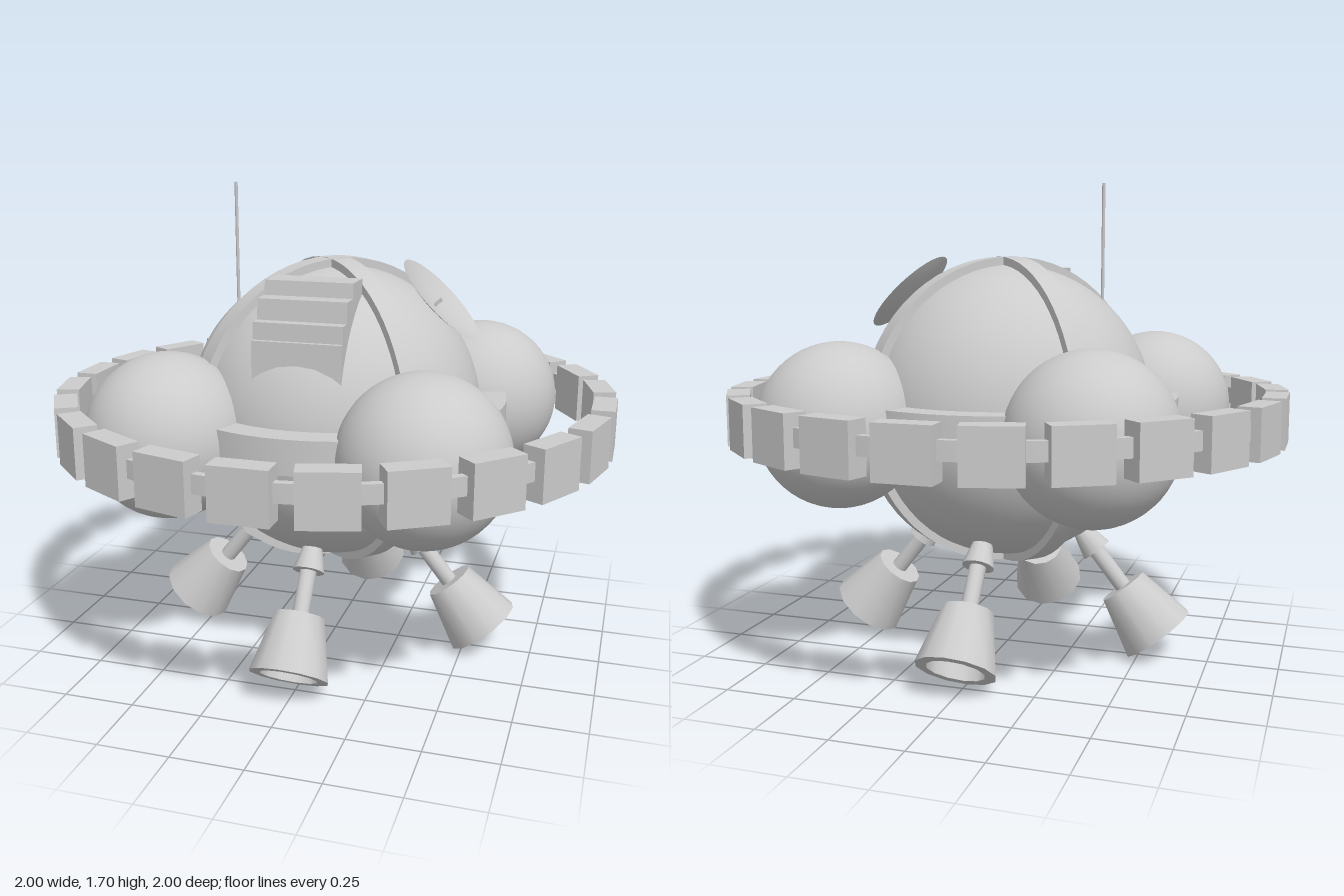
import * as THREE from 'three';
import { toCreasedNormals } from 'three/addons/utils/BufferGeometryUtils.js';

const grey = new THREE.MeshStandardMaterial({ color: 0xcccccc });
const greyDouble = new THREE.MeshStandardMaterial({ color: 0xcccccc, side: THREE.DoubleSide });
const MID = 0.89; // height of the hull centre

// Lathe from [radius, height] pairs, keeping profile corners sharp
function lathe(points, segments) {
  const profile = points.map(([r, y]) => new THREE.Vector2(r, y));
  return toCreasedNormals(new THREE.LatheGeometry(profile, segments), 0.6);
}

// Ring with a rectangular section
function hoop(inner, outer, height, segments = 64) {
  const h = height / 2;
  return lathe([[inner, -h], [outer, -h], [outer, h], [inner, h], [inner, -h]], segments);
}

export function createModel() {
  const model = new THREE.Group();
  const add = (name, geometry, x = 0, y = 0, z = 0, parent = model, material = grey) => {
    const mesh = new THREE.Mesh(geometry, material);
    mesh.name = name;
    mesh.position.set(x, y, z);
    parent.add(mesh);
    return mesh;
  };

  // Round hull with two crossing bands and a belt
  add('hull', new THREE.SphereGeometry(0.528, 48, 32), 0, MID, 0);
  for (const side of [1, -1]) {
    const band = hoop(0.5, 0.555, 0.075).rotateZ(Math.PI / 2).rotateY(side * Math.PI / 4);
    add('hullBand', band, 0, MID, 0);
  }
  add('belt', hoop(0.5, 0.62, 0.12), 0, MID, 0);

  // Four spherical tanks, turned slightly off the diagonals
  for (let i = 0; i < 4; i++) {
    const a = Math.PI / 4 + 0.045 + i * Math.PI / 2;
    add('tank', new THREE.SphereGeometry(0.287, 40, 28), Math.cos(a) * 0.635, 0.872, Math.sin(a) * 0.635);
  }

  // Outer ring of blocks on a thin rail
  const outerRing = new THREE.Group();
  outerRing.name = 'outerRing';
  outerRing.position.y = MID;
  model.add(outerRing);
  add('rail', hoop(0.945, 0.972, 0.062, 72), 0, 0.01, 0, outerRing);
  const blockGeometry = new THREE.BoxGeometry(0.19, 0.175, 0.08);
  for (let i = 0; i < 24; i++) {
    const a = i * Math.PI / 12;
    const block = add('ringBlock', blockGeometry, Math.sin(a) * 0.96, 0, Math.cos(a) * 0.96, outerRing);
    block.rotation.y = a;
  }

  // Four splayed thrusters: collar, strut and hollow bell in one profile
  const thrusterGeometry = lathe([
    [0, -0.27], [0.035, -0.25], [0.057, -0.16], [0.03, -0.16], [0.03, 0],
    [0.09, 0], [0.14, 0.212], [0.102, 0.212], [0.1, 0.13], [0, 0.13],
  ], 12);
  thrusterGeometry.rotateZ(-Math.PI + Math.atan2(0.62, 0.785)).translate(0.44, 0.258, 0);
  for (let i = 0; i < 4; i++) {
    add('thruster', thrusterGeometry).rotation.y = i * Math.PI / 2;
  }

  // Stepped housing on the upper front
  const steps = new THREE.Shape([
    [0.2, 1.09], [0.46, 1.09], [0.458, 1.225], [0.44, 1.225], [0.438, 1.283], [0.395, 1.283],
    [0.39, 1.353], [0.32, 1.353], [0.315, 1.403], [0.2, 1.403],
  ].map(([z, y]) => new THREE.Vector2(z, y)));
  const stepGeometry = new THREE.ExtrudeGeometry(steps, { depth: 0.306, bevelEnabled: false });
  stepGeometry.translate(0, 0, -0.153).rotateY(-Math.PI / 2);
  add('steps', stepGeometry);

  // Shallow dish on the left shoulder with a small feed
  const dish = new THREE.Group();
  dish.name = 'dish';
  dish.position.set(0.365, 1.292, 0.02);
  dish.rotation.z = -Math.PI / 4;
  model.add(dish);
  const bowl = [];
  for (let i = 0; i <= 8; i++) bowl.push(new THREE.Vector2(0.183 * i / 8, 0.033 * (i / 8) ** 2));
  add('dishBowl', new THREE.LatheGeometry(bowl, 40), 0, 0, 0, dish, greyDouble);
  add('dishFeed', new THREE.BoxGeometry(0.012, 0.04, 0.012), 0, 0.015, 0, dish);

  // Thin mast on the right shoulder
  add('antenna', new THREE.CylinderGeometry(0.006, 0.006, 0.465, 8), -0.325, 1.473, 0.115);

  return model;
}
